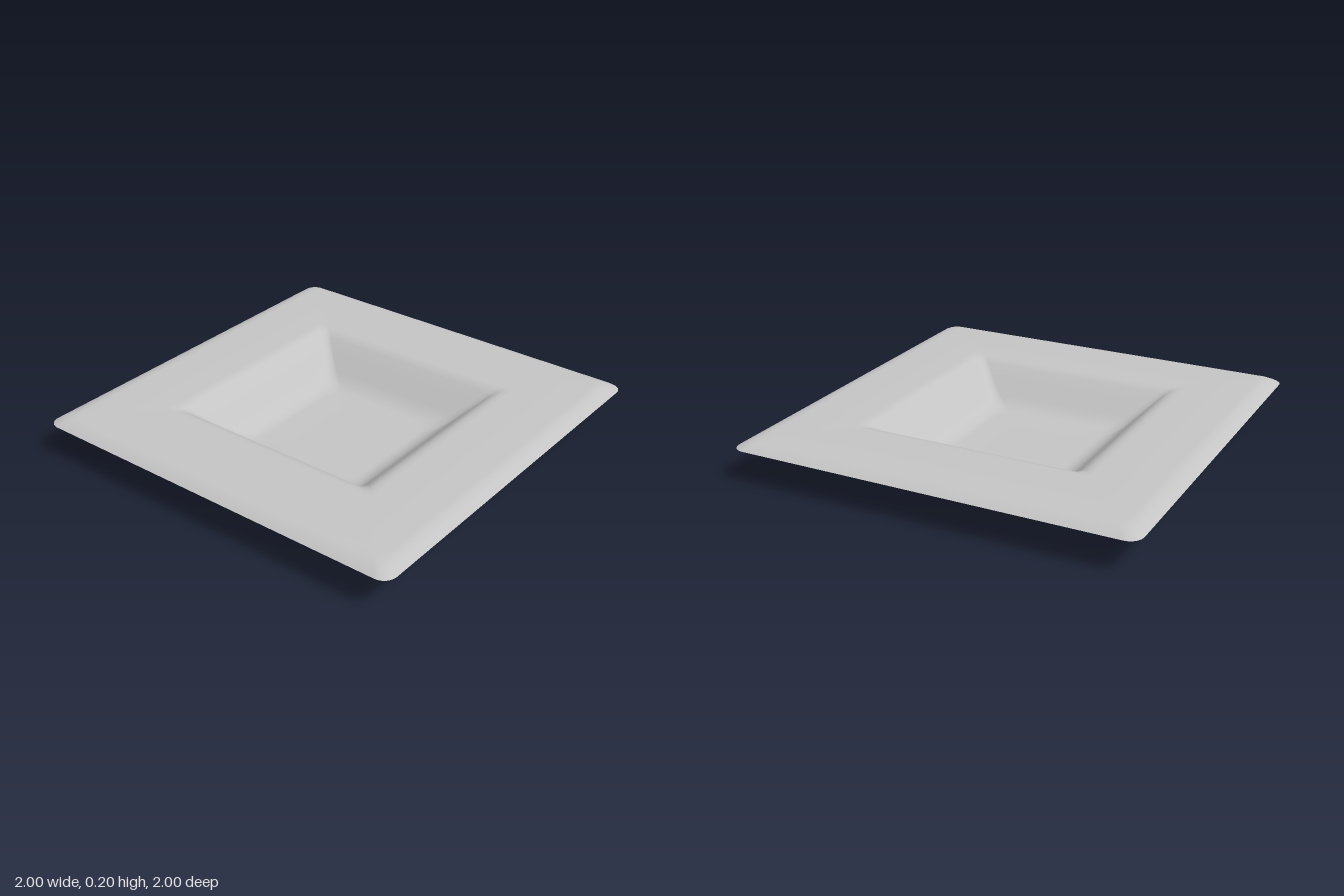
import * as THREE from 'three';

// Cross-section from rim edge to floor: [half width, height, corner radius]
const PROFILE = [
  [1.0, 0.165, 0.065], [0.985, 0.175, 0.06], [0.96, 0.188, 0.055], [0.935, 0.196, 0.05], [0.905, 0.2, 0.045],
  [0.75, 0.2, 0.04], [0.61, 0.2, 0.035], [0.58, 0.197, 0.035], [0.555, 0.19, 0.035], [0.525, 0.17, 0.035],
  [0.47, 0.115, 0.04], [0.41, 0.055, 0.05], [0.385, 0.033, 0.055], [0.355, 0.014, 0.06],
  [0.325, 0.004, 0.06], [0.295, 0, 0.06], [0.15, 0, 0.03],
];
const CORNER_STEPS = 8;
const SIDE_STEPS = 6;

// Points of a square ring with rounded corners
function ring(half, y, radius) {
  const points = [];
  const c = half - radius;
  for (let q = 0; q < 4; q++) {
    const turn = (q * Math.PI) / 2;
    const add = (x, z) => points.push(
      x * Math.cos(turn) - z * Math.sin(turn), y,
      x * Math.sin(turn) + z * Math.cos(turn));
    for (let i = 1; i < SIDE_STEPS; i++) add(half, c * (2 * i / SIDE_STEPS - 1));
    for (let i = 0; i <= CORNER_STEPS; i++) {
      const a = (i / CORNER_STEPS) * Math.PI / 2;
      add(c + radius * Math.cos(a), c + radius * Math.sin(a));
    }
  }
  return points;
}

// Skin the rings into one smooth sheet, closed at the middle of the floor
function dishGeometry() {
  const rings = PROFILE.map(([half, y, radius]) => ring(half, y, radius));
  const n = rings[0].length / 3;
  const positions = rings.flat();
  const center = positions.length / 3;
  positions.push(0, 0, 0);
  const index = [];
  for (let r = 0; r < rings.length; r++) {
    for (let j = 0; j < n; j++) {
      const k = (j + 1) % n;
      const a = r * n + j, b = r * n + k;
      if (r === rings.length - 1) index.push(a, center, b);
      else index.push(a, a + n, b, b, a + n, b + n);
    }
  }
  const geometry = new THREE.BufferGeometry();
  geometry.setAttribute('position', new THREE.Float32BufferAttribute(positions, 3));
  geometry.setIndex(index);
  geometry.computeVertexNormals();
  return geometry;
}

export function createModel() {
  const group = new THREE.Group();
  group.name = 'squarePlate';
  const ceramic = new THREE.MeshStandardMaterial({ color: 0xc4c4c4, side: THREE.DoubleSide });
  ceramic.name = 'light grey ceramic';
  const dish = new THREE.Mesh(dishGeometry(), ceramic);
  dish.name = 'dish';
  group.add(dish);
  return group;
}
